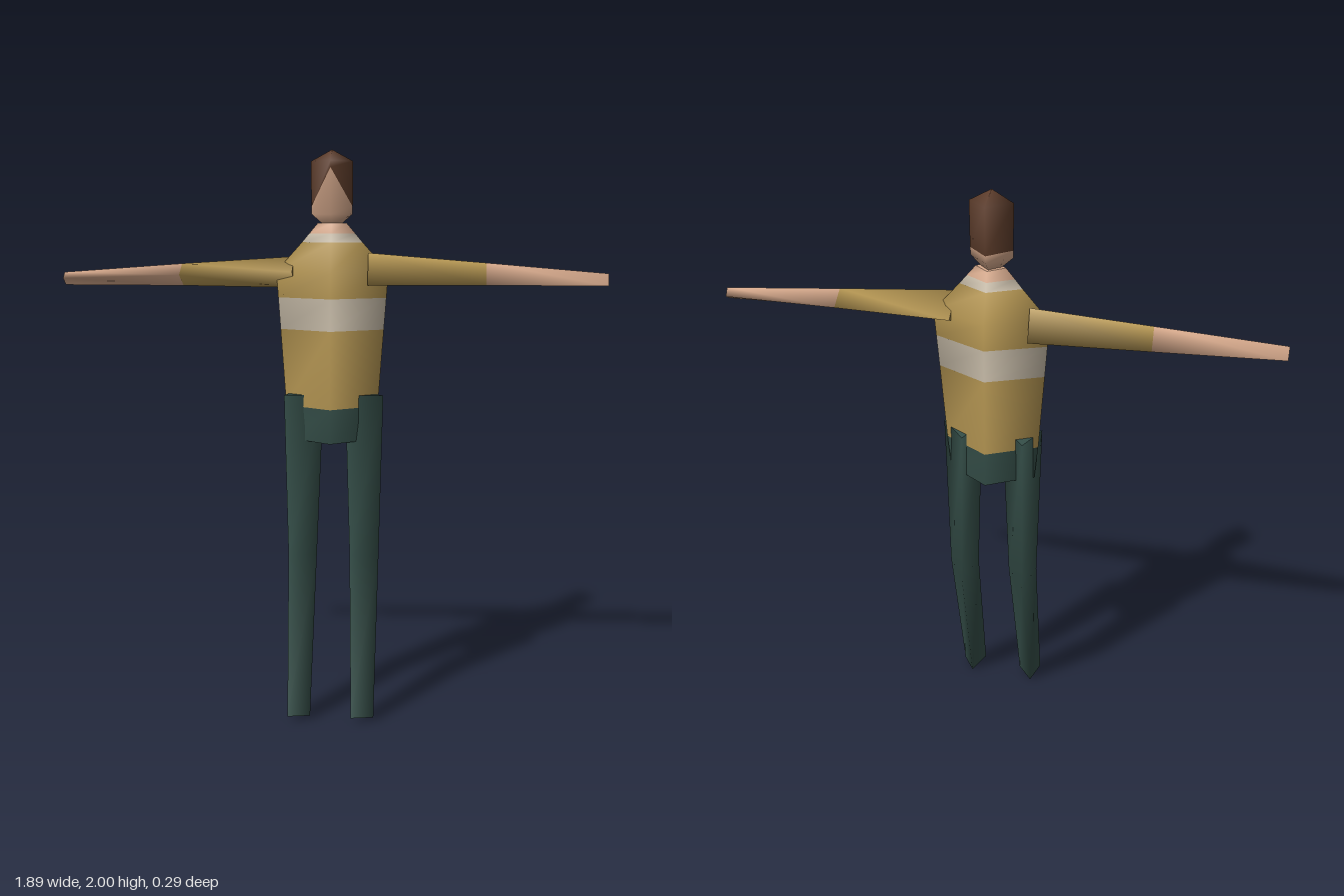
import * as THREE from 'three';

const material = (name, color) =>
  Object.assign(new THREE.MeshStandardMaterial({ color }), { name });

// Skin over a stack of equal-length point rings; bands[i] is the material of strip i.
function loft(name, rings, bands, capStart = true, capEnd = true) {
  const n = rings[0].length;
  const pos = rings.flat(2);
  const index = [];
  const geo = new THREE.BufferGeometry();
  const mats = [...new Set(bands)];
  const group = (mat, tris) => {
    geo.addGroup(index.length, tris.length, mats.indexOf(mat));
    index.push(...tris);
  };
  bands.forEach((mat, r) => {
    const tris = [];
    for (let i = 0; i < n; i++) {
      const a = r * n + i, b = r * n + (i + 1) % n;
      tris.push(a, b, b + n, a, b + n, a + n);
    }
    group(mat, tris);
  });
  // Flat end caps with their own corners
  const cap = (ring, mat, flip) => {
    const base = pos.length / 3;
    pos.push(...ring.flat());
    const tris = [];
    for (let i = 1; i < n - 1; i++)
      tris.push(base, base + (flip ? i + 1 : i), base + (flip ? i : i + 1));
    group(mat, tris);
  };
  if (capStart) cap(rings[0], bands[0], true);
  if (capEnd) cap(rings[rings.length - 1], bands[bands.length - 1], false);
  geo.setAttribute('position', new THREE.Float32BufferAttribute(pos, 3));
  geo.setIndex(index);
  geo.computeVertexNormals();
  const mesh = new THREE.Mesh(geo, mats);
  mesh.name = name;
  return mesh;
}

// Four-cornered ring: front, left, back, right
const diamond = (y, hx, zf, zb, yFront = y) => {
  const zm = (zf + zb) / 2;
  return [[0, yFront, zf], [hx, y, zm], [0, y, zb], [-hx, y, zm]];
};

export function createModel() {
  const model = new THREE.Group();
  model.name = 'figure';
  const skin = material('skin', 0xdcae90);
  const hair = material('brown hair', 0x5e3d2b);
  const tan = material('tan sweater', 0xbc9c56);
  const cream = material('cream stripe', 0xd0c4b0);
  const green = material('dark green trousers', 0x36504a);

  // Torso, from the hips up to the neck
  model.add(loft('torso', [
    diamond(1.00, 0.150, 0.060, -0.140),
    diamond(1.12, 0.162, 0.057, -0.140),
    diamond(1.39, 0.181, 0.043, -0.143),
    diamond(1.50, 0.189, 0.037, -0.145),
    diamond(1.59, 0.195, 0.032, -0.147),
    diamond(1.69, 0.105, 0.006, -0.121),
    diamond(1.72, 0.080, -0.002, -0.113),
    diamond(1.755, 0.050, -0.010, -0.105),
  ], [green, tan, cream, tan, tan, cream, skin]));

  // Head; the hairline ring rises to a peak over the forehead
  model.add(loft('head', [
    diamond(1.75, 0.03, -0.02, -0.085),
    diamond(1.785, 0.07, 0.03, -0.12),
    diamond(1.81, 0.071, 0.03, -0.123, 1.94),
    diamond(1.962, 0.072, 0.03, -0.13),
    diamond(2.00, 0.001, -0.046, -0.048),
  ], [skin, skin, hair, hair]));

  // Arms: three-sided, rings given as x plus [y, z] corners
  const armRing = (x, ...corners) => corners.map(([y, z]) => [x, y, z]);
  model.add(loft('leftArm', [
    armRing(0.125, [1.655, -0.03], [1.545, -0.005], [1.58, -0.112]),
    armRing(0.53, [1.622, -0.035], [1.547, -0.015], [1.575, -0.092]),
    armRing(0.945, [1.587, -0.04], [1.545, -0.03], [1.56, -0.057]),
  ], [tan, skin]));
  model.add(loft('rightArm', [
    armRing(-0.135, [1.64, -0.085], [1.53, -0.112], [1.59, -0.002]),
    armRing(-0.53, [1.615, -0.072], [1.537, -0.092], [1.578, -0.013]),
    armRing(-0.945, [1.585, -0.05], [1.54, -0.058], [1.565, -0.028]),
  ], [tan, skin]));

  // Legs: three-sided, bent at the knee, both turned the same way
  model.add(loft('leftLeg', [
    [[0.08, 0.022, 0.147], [0.16, 0.018, 0.125], [0.117, 0.003, 0.075]],
    [[0.067, 0.585, 0.008], [0.17, 0.58, -0.005], [0.105, 0.56, -0.087]],
    [[0.05, 1.163, 0.003], [0.182, 1.163, -0.01], [0.085, 1.163, -0.122]],
  ], [green, green]));
  model.add(loft('rightLeg', [
    [[-0.146, 0.022, 0.147], [-0.067, 0.018, 0.125], [-0.122, 0.003, 0.075]],
    [[-0.153, 0.585, 0.008], [-0.052, 0.58, -0.005], [-0.122, 0.56, -0.087]],
    [[-0.165, 1.163, 0.003], [-0.027, 1.163, -0.01], [-0.125, 1.163, -0.122]],
  ], [green, green]));

  return model;
}
